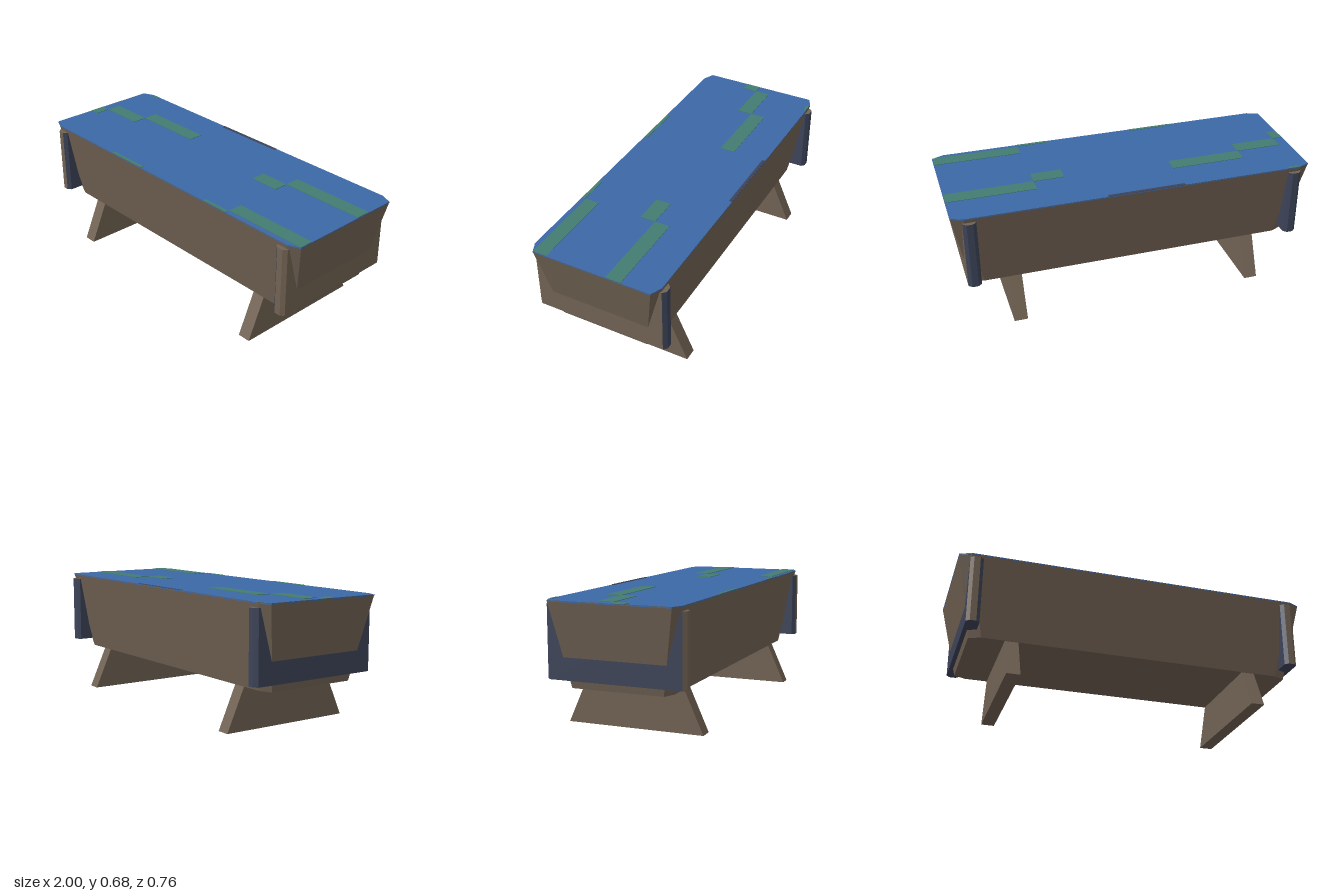
import * as THREE from 'three';

// Plan outline of a rectangle with clipped corners, starting on the +x side
const octagon = (hx, hz, cx, cz) => [
  [hx, hz - cz], [hx, cz - hz], [hx - cx, -hz], [cx - hx, -hz],
  [-hx, cz - hz], [-hx, hz - cz], [cx - hx, hz], [hx - cx, hz],
];
const rectangle = (hx, hz) => [[hx, hz], [hx, -hz], [-hx, -hz], [-hx, hz]];

// Flat-faced solid between two outlines; groups are sides 0..n-1, bottom n, top n+1
function loft(lower, upper, y0, y1, openTop = false) {
  const pos = [], n = lower.length, geo = new THREE.BufferGeometry();
  const lo = lower.map(([x, z]) => [x, y0, z]);
  const up = upper.map(([x, z]) => [x, y1, z]);
  const face = (corners, group) => {
    const start = pos.length / 3;
    for (let i = 1; i < corners.length - 1; i++) {
      pos.push(...corners[0], ...corners[i], ...corners[i + 1]);
    }
    geo.addGroup(start, pos.length / 3 - start, group);
  };
  for (let i = 0; i < n; i++) {
    const j = (i + 1) % n;
    face([lo[i], lo[j], up[j], up[i]], i);
  }
  face([...lo].reverse(), n);
  if (!openTop) face(up, n + 1);
  geo.setAttribute('position', new THREE.Float32BufferAttribute(pos, 3));
  geo.computeVertexNormals();
  return geo;
}

export function createModel() {
  const group = new THREE.Group();
  const material = (name, color) => {
    const m = new THREE.MeshStandardMaterial({ color });
    m.name = name;
    return m;
  };
  const wood = material('wood', 0x716253);
  const iron = material('darkIron', 0x3d4459);
  const water = material('water', 0x3c68a6);
  const algae = material('algae', 0x437b72);

  const add = (name, geo, mat, x = 0, y = 0, z = 0) => {
    const mesh = new THREE.Mesh(geo, mat);
    mesh.name = name;
    mesh.position.set(x, y, z);
    group.add(mesh);
  };

  // Flared basin with clipped corners
  const rim = octagon(1, 0.363, 0.065, 0.028);
  add('basin', loft(octagon(0.91, 0.28, 0.065, 0.028), rim, 0.23, 0.682, true), wood);

  // Water filling the basin to the rim
  add('waterSurface', loft(rim, rim, 0.675, 0.68), water);

  // Floating algae strips: x0, x1, z0, z1
  const strips = [
    [-0.68, -0.26, -0.17, -0.085], [0.51, 0.997, -0.17, -0.085],
    [-0.94, -0.68, -0.085, 0], [0.34, 0.51, -0.085, 0],
    [-0.997, -0.94, 0, 0.085], [0.51, 0.997, 0.255, 0.335],
    [-0.43, -0.17, 0.342, 0.361], [0.34, 0.51, 0.342, 0.361],
    [-0.93, -0.87, -0.361, -0.345],
  ];
  const plate = (name, [x0, x1, z0, z1], mat) => add(name,
    new THREE.BoxGeometry(x1 - x0, 0.003, z1 - z0), mat, (x0 + x1) / 2, 0.681, (z0 + z1) / 2);
  strips.forEach((s) => plate('algaeStrip', s, algae));
  plate('rimStain', [-0.26, 0.17, -0.362, -0.345], iron);

  // End braces crossing the basin, with bevelled ends and some dark faces
  const plan = octagon(0.036, 0.381, 0.019, 0.018);
  const brace = loft(plan, plan, 0.273, 0.655);
  const faces = (woodFaces) => Array.from({ length: 10 },
    (_, i) => (woodFaces.includes(i) ? wood : iron));
  add('leftBrace', brace, faces([0, 6, 7, 9]), 0.906);
  add('rightBrace', brace, faces([5, 6, 9]), -0.906);

  // Splayed plank legs
  const leg = loft(rectangle(0.037, 0.381), rectangle(0.037, 0.272), 0, 0.242);
  for (const [name, x] of [['leftLeg', 0.678], ['rightLeg', -0.682]]) {
    add(name, leg, Array(6).fill(wood), x);
  }

  // The basin uses a single material for every face
  group.getObjectByName('basin').geometry.clearGroups();
  group.getObjectByName('waterSurface').geometry.clearGroups();
  return group;
}
